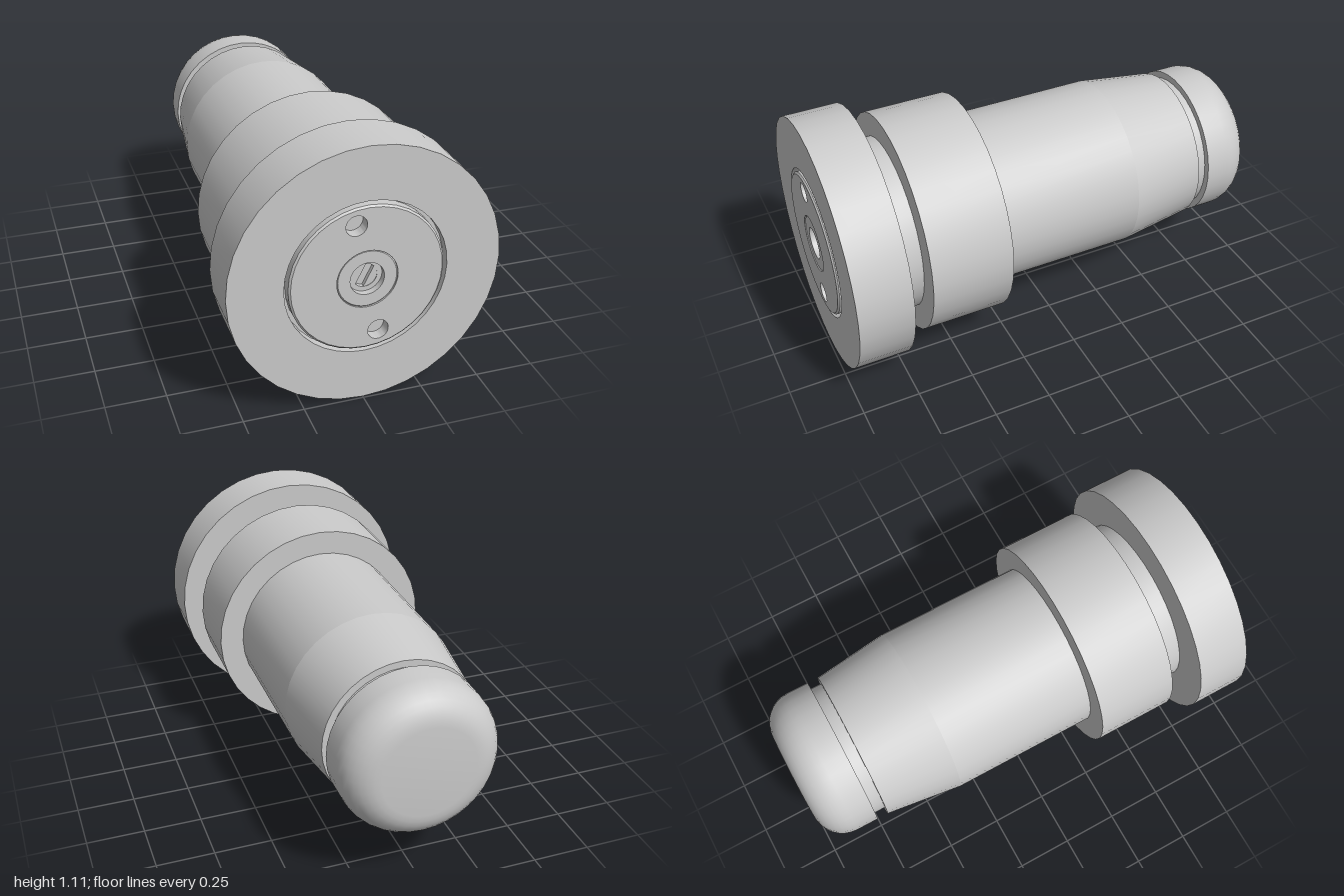
import * as THREE from 'three';
import { toCreasedNormals } from 'three/addons/utils/BufferGeometryUtils.js';

const SIDES = 36;
const material = new THREE.MeshStandardMaterial({ color: 0xcccccc });

export function createModel() {
  const model = new THREE.Group();
  model.name = 'turnedPlug';
  // All parts are turned about the z axis of this group
  const axis = new THREE.Group();
  axis.name = 'turnedParts';
  axis.position.y = 0.556;
  model.add(axis);

  const add = (name, geometry) => {
    const mesh = new THREE.Mesh(toCreasedNormals(geometry, 0.5), material);
    mesh.name = name;
    axis.add(mesh);
    return mesh;
  };
  // Profile of [radius, z], running from back to front for outer faces
  const turn = (name, profile, sides = SIDES) =>
    add(name, new THREE.LatheGeometry(profile.map(([r, z]) => new THREE.Vector2(r, z)), sides).rotateX(Math.PI / 2));
  const circle = (Type, r, x = 0, y = 0) => new Type().absarc(x, y, r, 0, Math.PI * 2, false);
  const plate = (name, shape, z0, z1, curveSegments = 18) =>
    add(name, new THREE.ExtrudeGeometry(shape, { depth: z1 - z0, bevelEnabled: false, curveSegments }).translate(0, 0, z0));

  // Rounded nose and retaining groove
  const nose = [[0, -1]];
  for (let i = 0; i <= 8; i++) {
    const a = (i / 8) * Math.PI / 2;
    nose.push([0.2 + 0.14 * Math.sin(a), -0.86 - 0.14 * Math.cos(a)]);
  }
  turn('roundedNose', [...nose, [0.34, -0.76], [0.31, -0.76]]);
  turn('noseGroove', [[0.31, -0.76], [0.31, -0.71]]);

  // Tapered shank, straight shank, collar and neck
  turn('taperedShank', [[0.31, -0.71], [0.34, -0.71], [0.384, -0.37]]);
  turn('shank', [[0.384, -0.37], [0.384, 0.29]]);
  turn('collar', [[0.384, 0.29], [0.49, 0.29], [0.49, 0.65], [0.384, 0.65]]);
  turn('neck', [[0.384, 0.65], [0.384, 0.755]]);

  // Flange, with the recess that holds the end cap
  turn('flange', [[0.384, 0.755], [0.556, 0.755], [0.556, 0.992], [0.332, 0.992], [0.332, 0.95], [0, 0.95]]);

  // End cap with chamfered rim, two spanner holes and a central bore
  turn('capRim', [[0.316, 0.95], [0.316, 0.993], [0.308, 1]]);
  const cap = circle(THREE.Shape, 0.308);
  cap.holes.push(
    circle(THREE.Path, 0.125),
    circle(THREE.Path, 0.043, -0.051, 0.238),
    circle(THREE.Path, 0.043, 0.051, -0.238)
  );
  plate('endCap', cap, 0.951, 1);

  // Centre plug with a stepped bore
  turn('centrePlug', [
    [0.125, 0.951], [0.125, 0.993], [0.12, 0.997], [0.07, 0.997], [0.07, 0.97], [0.05, 0.97], [0.05, 0.951]
  ]);

  // Slotted screw: two mirrored circle segments
  const half = Math.asin(0.018 / 0.05);
  for (const turnAngle of [0, Math.PI]) {
    const segment = new THREE.Shape().absarc(0, 0, 0.05, half, Math.PI - half, false);
    segment.closePath();
    plate('screwHalf', segment, 0.951, 0.968, 12).rotation.z = turnAngle + THREE.MathUtils.degToRad(64);
  }

  return model;
}
